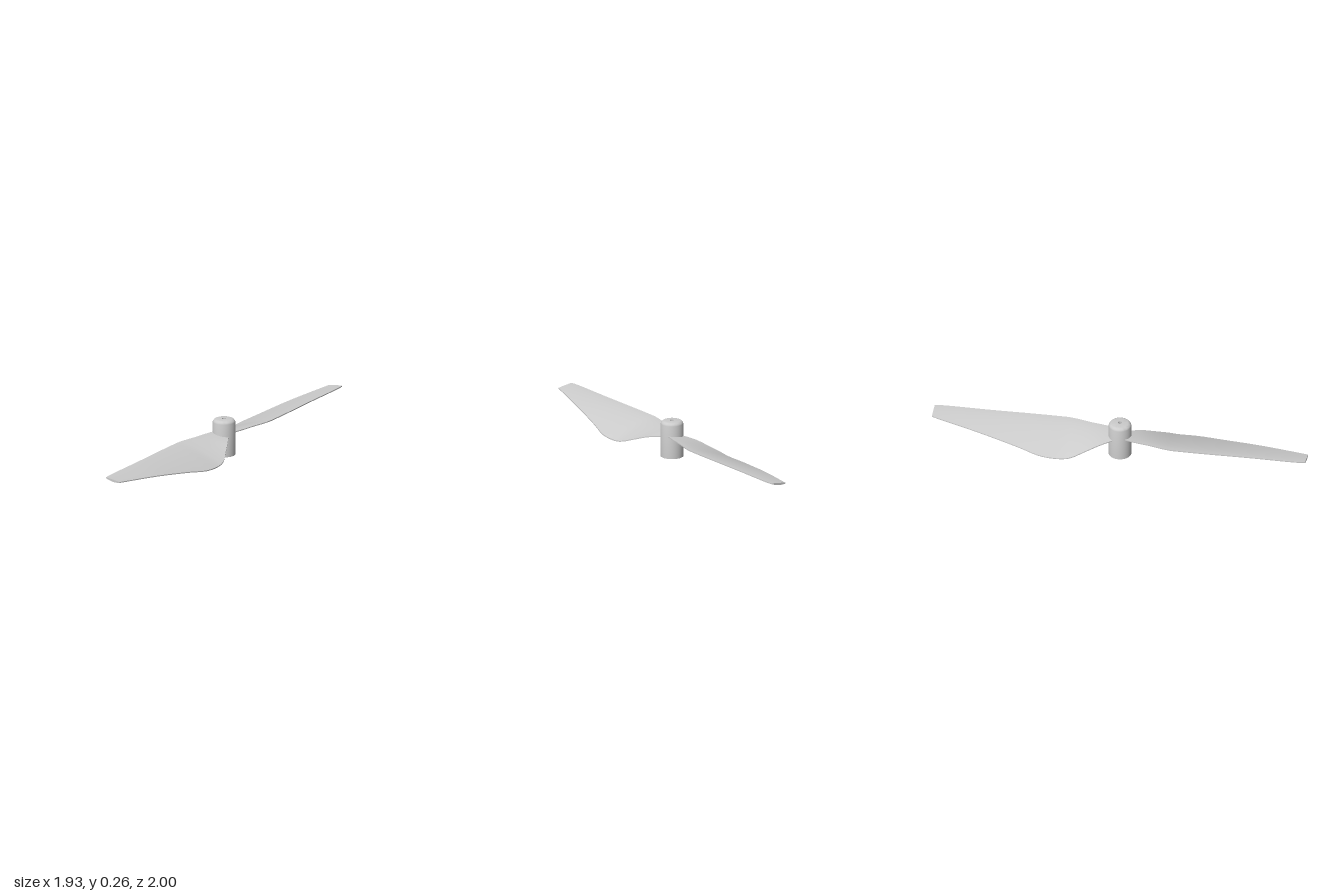
import * as THREE from 'three';
import { toCreasedNormals } from 'three/addons/utils/BufferGeometryUtils.js';

const material = new THREE.MeshStandardMaterial({ color: 0xcccccc });

// Smooth curve through [x, y, z] points
const curve = (points) => new THREE.CatmullRomCurve3(
  points.map((p) => new THREE.Vector3(...p)), false, 'centripetal');

// Twisted blade: closed airfoil sections between a level leading edge and a drooping trailing edge
function bladeGeometry() {
  const lead = curve([
    [-0.05, 0.165, -0.03], [-0.14, 0.165, 0.035], [-0.22, 0.165, 0.10], [-0.29, 0.165, 0.15],
    [-0.345, 0.165, 0.195], [-0.40, 0.165, 0.255], [-0.52, 0.165, 0.395], [-0.70, 0.165, 0.61],
    [-0.94, 0.165, 0.89], [-0.963, 0.165, 0.925],
  ]);
  const trail = curve([
    [0.025, 0.15, 0.05], [0, 0.13, 0.17], [-0.03, 0.095, 0.28], [-0.055, 0.067, 0.365],
    [-0.09, 0.055, 0.42], [-0.19, 0.058, 0.53], [-0.34, 0.083, 0.63], [-0.58, 0.119, 0.795],
    [-0.85, 0.147, 0.98], [-0.88, 0.15, 1.0],
  ]);
  const spans = 54, across = 14, ring = 2 * (across + 1);
  const positions = [], index = [];
  for (let i = 0; i <= spans; i++) {
    const a = lead.getPoint(i / spans), b = trail.getPoint(i / spans);
    for (let k = 0; k < ring; k++) {
      const top = k <= across;
      const u = (top ? k : ring - 1 - k) / across;
      const thickness = 0.007 + 0.010 * Math.sin(Math.PI * u);
      const y = a.y + (b.y - a.y) * Math.pow(u, 1.4);
      positions.push(a.x + (b.x - a.x) * u, top ? y : y - thickness, a.z + (b.z - a.z) * u);
    }
  }
  for (let i = 0; i < spans; i++) {
    for (let k = 0; k < ring; k++) {
      const p = i * ring + k, q = i * ring + (k + 1) % ring;
      index.push(p, p + ring, q, q, p + ring, q + ring);
    }
  }
  // End caps at root and tip
  for (let k = 0; k < across; k++) {
    const t = k, b = ring - 1 - k, o = spans * ring;
    index.push(t, t + 1, b, t + 1, b - 1, b);
    index.push(o + t, o + b, o + t + 1, o + t + 1, o + b, o + b - 1);
  }
  const geometry = new THREE.BufferGeometry();
  geometry.setAttribute('position', new THREE.Float32BufferAttribute(positions, 3));
  geometry.setIndex(index);
  return toCreasedNormals(geometry, 0.6);
}

// Cylindrical hub with a rounded shoulder and a small shaft hole in the top
function hubGeometry() {
  const profile = [[0, 0], [0.08, 0], [0.08, 0.23]];
  for (let i = 1; i <= 6; i++) {
    const a = (i / 6) * Math.PI / 2;
    profile.push([0.052 + 0.028 * Math.cos(a), 0.23 + 0.03 * Math.sin(a)]);
  }
  profile.push([0.014, 0.26], [0.014, 0.235], [0, 0.235]);
  const lathe = new THREE.LatheGeometry(profile.map((p) => new THREE.Vector2(...p)), 48);
  return toCreasedNormals(lathe, 0.6);
}

export function createModel() {
  const model = new THREE.Group();
  model.name = 'propeller';

  const hub = new THREE.Mesh(hubGeometry(), material);
  hub.name = 'hub';
  model.add(hub);

  // Two identical blades, half a turn apart
  const geometry = bladeGeometry();
  ['frontBlade', 'backBlade'].forEach((name, i) => {
    const blade = new THREE.Mesh(geometry, material);
    blade.name = name;
    blade.rotation.y = i * Math.PI;
    model.add(blade);
  });
  return model;
}
